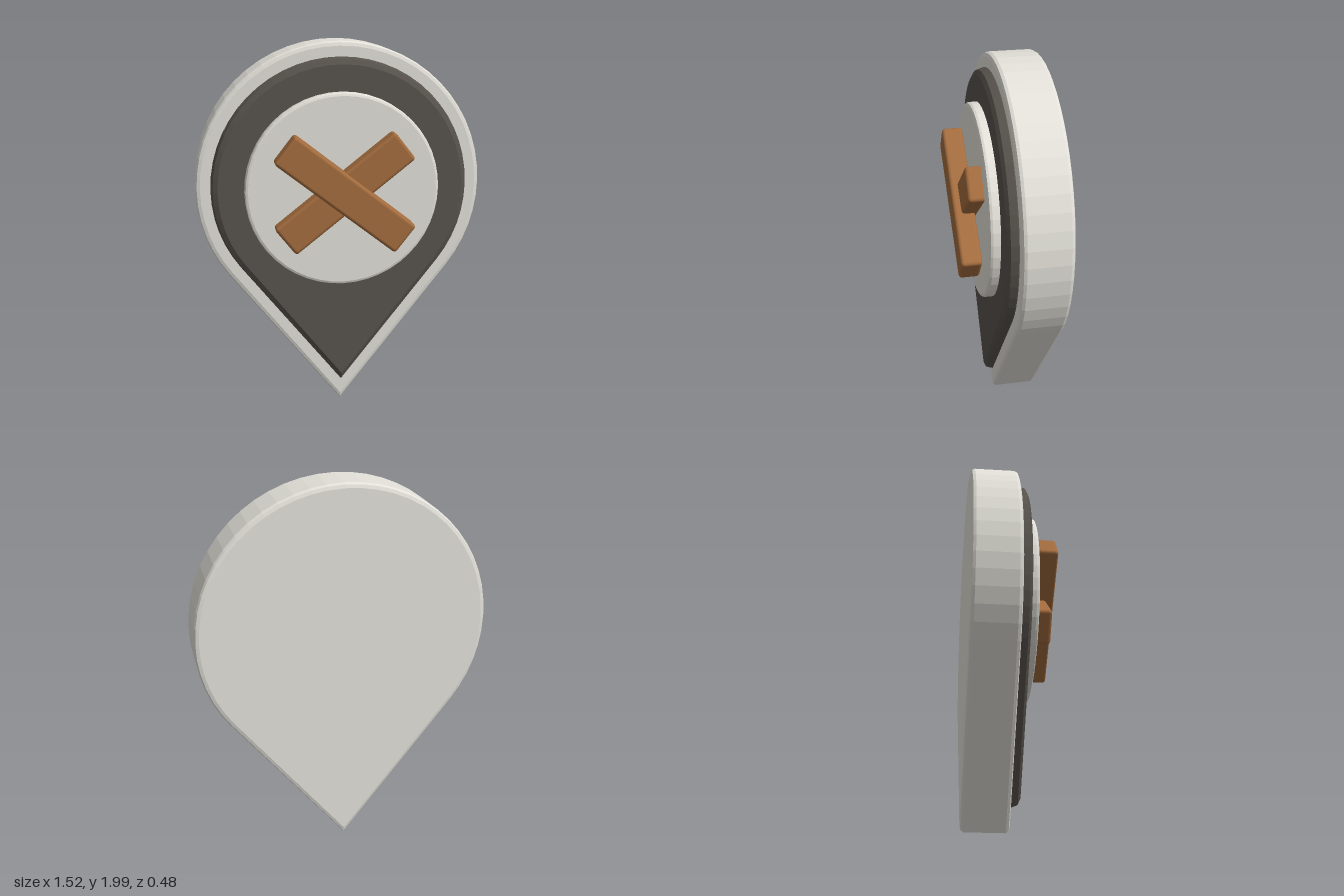
import * as THREE from 'three';
import { RoundedBoxGeometry } from 'three/addons/geometries/RoundedBoxGeometry.js';

const CENTRE_Y = 1.238; // centre of the round head
const RADIUS = 0.762;
const SLOPE = RADIUS / CENTRE_Y; // sine of the half angle at the point

// Teardrop: a circle joined by tangents to a point below it
function pinShape(r) {
  const a = Math.asin(SLOPE);
  const shape = new THREE.Shape();
  shape.moveTo(0, CENTRE_Y - r / SLOPE);
  shape.lineTo(r * Math.cos(a), CENTRE_Y - r * SLOPE);
  shape.absarc(0, CENTRE_Y, r, -a, Math.PI + a, false);
  shape.closePath();
  return shape;
}

function discShape(r) {
  const shape = new THREE.Shape();
  shape.absarc(0, CENTRE_Y, r, 0, Math.PI * 2, false);
  return shape;
}

// Bevelled slab of outer radius r between two depths
function slab(makeShape, r, back, front, bevel, bevelDepth, segments) {
  const geometry = new THREE.ExtrudeGeometry(makeShape(r - bevel), {
    depth: front - back - 2 * bevelDepth,
    bevelSize: bevel,
    bevelThickness: bevelDepth,
    bevelSegments: 2,
    curveSegments: segments,
  });
  return geometry.translate(0, 0, back + bevelDepth);
}

export function createModel() {
  const model = new THREE.Group();
  const paleStone = new THREE.MeshStandardMaterial({ name: 'pale stone', color: 0xe2e0d8 });
  const charcoal = new THREE.MeshStandardMaterial({ name: 'charcoal', color: 0x57524c });
  const wood = new THREE.MeshStandardMaterial({ name: 'wood', color: 0xa36c3e });

  const add = (name, geometry, material) => {
    const mesh = new THREE.Mesh(geometry, material);
    mesh.name = name;
    model.add(mesh);
    return mesh;
  };

  // Stacked layers of the marker
  add('pinBody', slab(pinShape, RADIUS, -0.237, 0.013, 0.024, 0.02, 20), paleStone);
  add('darkInlay', slab(pinShape, 0.684, -0.06, 0.067, 0.035, 0.05, 20), charcoal);
  add('faceDisc', slab(discShape, 0.512, 0.04, 0.12, 0.016, 0.016, 24), paleStone);

  // Two crossed boards, one lying over the other
  const boards = [
    ['lowerBoard', 1, 0.105, 0.199],
    ['upperBoard', -1, 0.13, 0.239],
  ];
  for (const [name, side, back, front] of boards) {
    const board = add(name, new RoundedBoxGeometry(0.795, 0.18, front - back, 2, 0.018), wood);
    board.position.set(0, CENTRE_Y, (back + front) / 2);
    board.rotation.z = side * 0.665;
  }
  return model;
}
